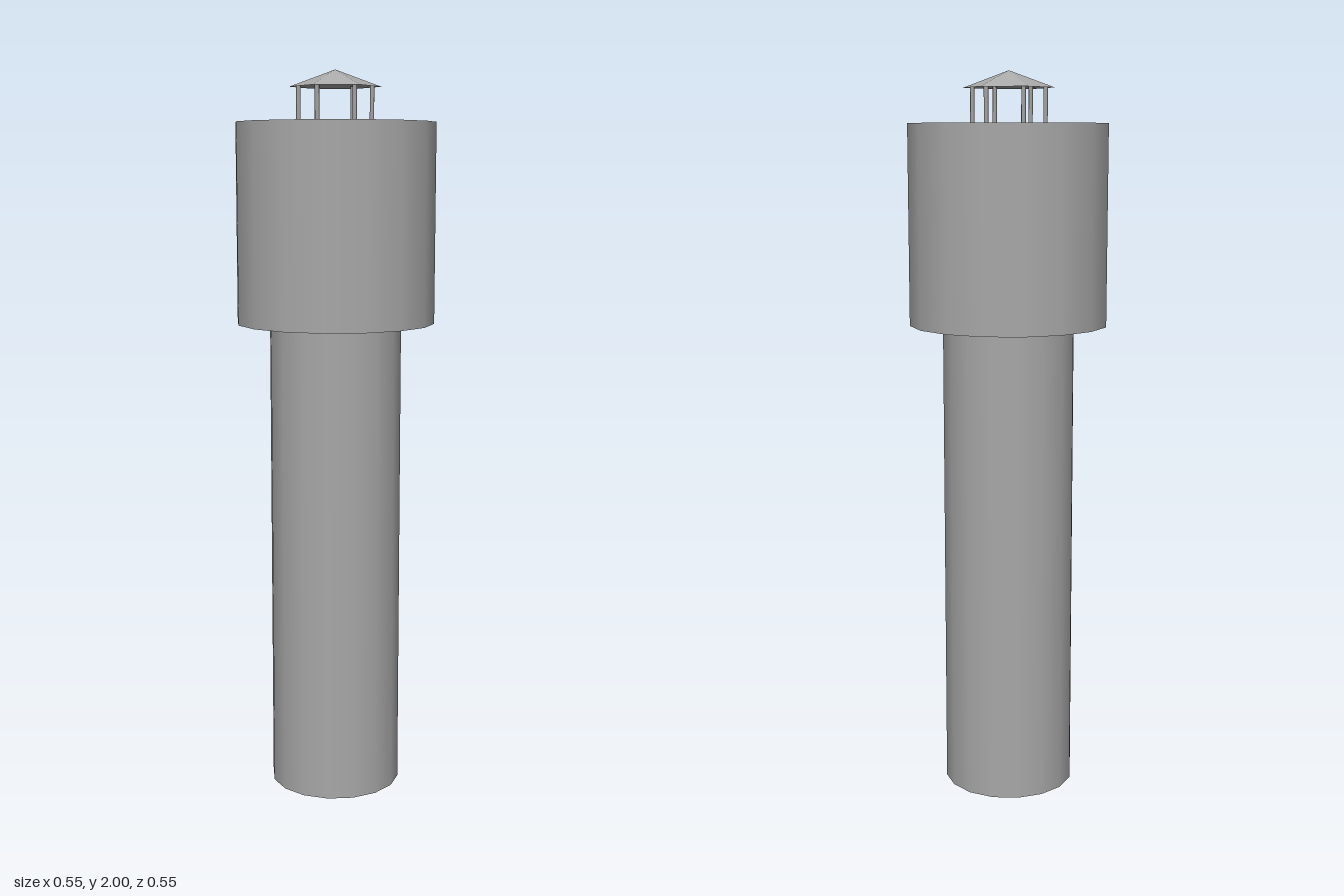
import * as THREE from 'three';

export function createModel() {
  const group = new THREE.Group();
  group.name = 'waterTower';
  const concrete = new THREE.MeshStandardMaterial({ color: 0xa8a8a8, side: THREE.DoubleSide });
  concrete.name = 'concreteGrey';

  const add = (name, geometry, x, y, z) => {
    const mesh = new THREE.Mesh(geometry, concrete);
    mesh.name = name;
    mesh.position.set(x, y, z);
    group.add(mesh);
    return mesh;
  };

  // Sixteen-sided wall, open below, closed by a flat top
  const addTier = (name, radius, bottom, top) => {
    add(name + 'Wall', new THREE.CylinderGeometry(radius, radius, top - bottom, 16, 1, true),
      0, (top + bottom) / 2, 0);
    add(name + 'Top', new THREE.CircleGeometry(radius, 16).rotateX(-Math.PI / 2), 0, top, 0);
  };
  addTier('shaft', 0.182, 0, 1.32);
  addTier('tank', 0.273, 1.32, 1.862);

  // Six slim posts under the corners of the small roof
  for (let i = 0; i < 6; i++) {
    const a = (i * Math.PI) / 3;
    add('canopyPost', new THREE.CylinderGeometry(0.006, 0.006, 0.098, 6, 1, true),
      0.099 * Math.sin(a), 1.911, 0.099 * Math.cos(a));
  }

  // Faceted hexagonal roof
  const roof = new THREE.ConeGeometry(0.124, 0.045, 6, 1, true).toNonIndexed();
  roof.computeVertexNormals();
  add('canopyRoof', roof, 0, 1.9775, 0);

  return group;
}
